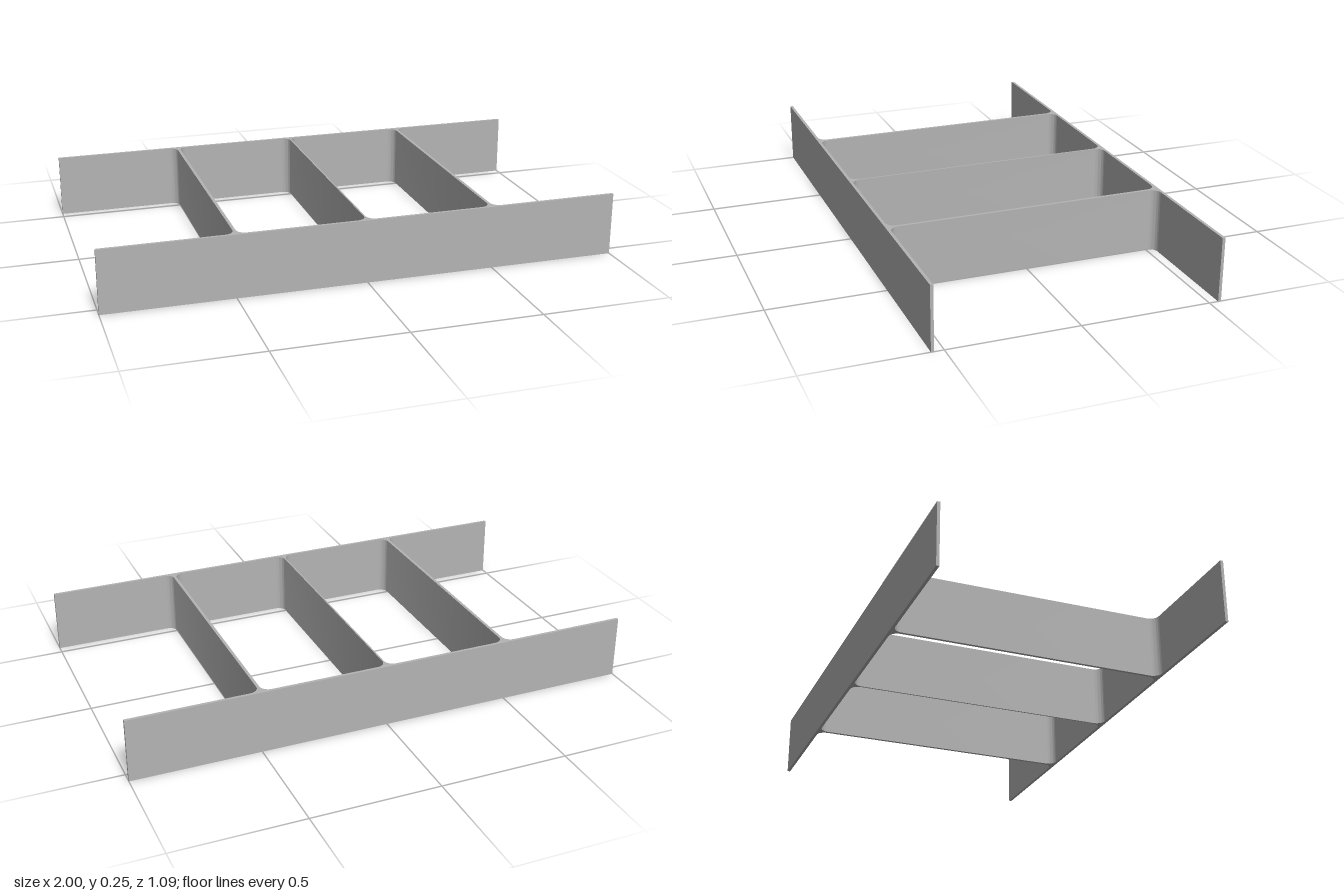
import * as THREE from 'three';
import { toCreasedNormals } from 'three/addons/utils/BufferGeometryUtils.js';

const HEIGHT = 0.247;
const OUTER = 0.547;   // outer face of the rails
const RAIL = 0.0115;   // rail thickness
const INNER = OUTER - RAIL;
const FILLET = 0.035;

// Cross plate plan: a thin web flaring into concave fillets at both rails
function crossPlateGeometry(thickness) {
  const h = thickness / 2, r = FILLET, s = new THREE.Shape();
  s.moveTo(h + r, INNER);
  s.lineTo(-h - r, INNER);
  s.absarc(-h - r, INNER - r, r, Math.PI / 2, 0, true);
  s.lineTo(-h, -INNER + r);
  s.absarc(-h - r, -INNER + r, r, 0, -Math.PI / 2, true);
  s.lineTo(h + r, -INNER);
  s.absarc(h + r, -INNER + r, r, -Math.PI / 2, -Math.PI, true);
  s.lineTo(h, INNER - r);
  s.absarc(h + r, INNER - r, r, Math.PI, Math.PI / 2, true);
  const geo = new THREE.ExtrudeGeometry(s, { depth: HEIGHT, bevelEnabled: false, curveSegments: 12 });
  geo.rotateX(-Math.PI / 2);
  return toCreasedNormals(geo, Math.PI / 6);
}

export function createModel() {
  const group = new THREE.Group();
  group.name = 'ladderFrame';
  const grey = new THREE.MeshStandardMaterial({ color: 0xb4b4b4 });
  grey.name = 'plain grey';

  const add = (name, geometry, x, y, z) => {
    const mesh = new THREE.Mesh(geometry, grey);
    mesh.name = name;
    mesh.position.set(x, y, z);
    group.add(mesh);
  };

  // Long rails at front and back
  const rail = new THREE.BoxGeometry(2, HEIGHT, RAIL);
  add('frontRail', rail, 0, HEIGHT / 2, OUTER - RAIL / 2);
  add('backRail', rail, 0, HEIGHT / 2, -OUTER + RAIL / 2);

  // Three cross plates, the middle one thinner
  const sidePlate = crossPlateGeometry(0.0115);
  add('rightCrossPlate', sidePlate, -0.495, 0, 0);
  add('middleCrossPlate', crossPlateGeometry(0.006), 0, 0, 0);
  add('leftCrossPlate', sidePlate, 0.495, 0, 0);

  return group;
}
